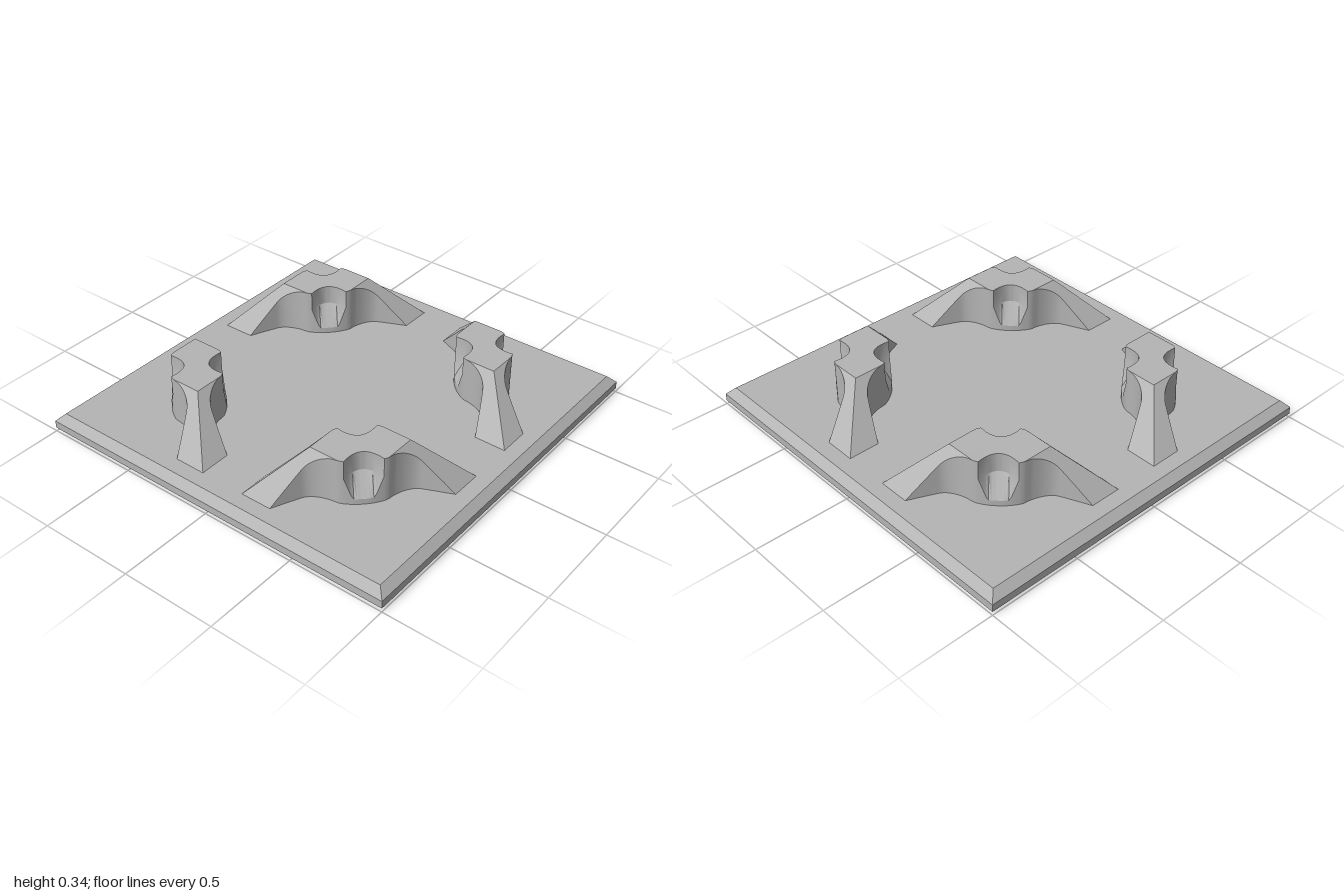
import * as THREE from 'three';
import { toCreasedNormals } from 'three/addons/utils/BufferGeometryUtils.js';

const BASE = 0.1, TOP = 0.34, HALF_BASE = 0.38, HALF_TOP = 0.16;
const LEDGE = 0.24, FLOOR = 0.13;

// Height of the truncated pyramid that caps each ridge (x along it, z across it)
function capHeight(x, z) {
  const reach = (Math.abs(x) + Math.abs(z)) / Math.SQRT2;
  return Math.min(TOP, BASE + (HALF_BASE - reach) * (TOP - BASE) / (HALF_BASE - HALF_TOP));
}

// Ridge: a quarter is built from its plan outline, then mirrored both ways
function ridgeGeometry() {
  const outline = new THREE.SplineCurve([
    [0, 0.135], [0.045, 0.132], [0.09, 0.122], [0.115, 0.1113], [0.15, 0.085],
    [0.2, 0.062], [0.25, 0.055], [0.3, 0.07], [0.42, 0.117],
  ].map(([x, z]) => new THREE.Vector2(x, z))).getPoints(32);
  const NICHE = 8, RIM = 12; // outline samples where the niche and the flat top end
  const edge = outline[NICHE];
  const arc = outline.slice(0, NICHE + 1).map((p) =>
    new THREE.Vector2(p.x, edge.y - 0.062 * (1 - (p.x / edge.x) ** 2)));
  const sill = (x) => FLOOR + (LEDGE - FLOOR) * Math.max(0, (x - 0.05) / (edge.x - 0.05));
  const positions = [];

  for (const sx of [1, -1]) for (const sz of [1, -1]) {
    const tri = (a, b, c) => {
      const order = sx * sz > 0 ? [a, b, c] : [a, c, b];
      for (const [x, y, z] of order) positions.push(x * sx, y, z * sz);
    };
    const quad = (a, b, c, d) => { tri(a, b, c); tri(a, c, d); };
    const at = (p, y) => [p.x, y, p.y];
    // Upward-facing polygon lifted onto the cap
    const cap = (pts) => {
      for (const ids of THREE.ShapeUtils.triangulateShape(pts, [])) {
        const [a, b, c] = ids.map((i) => pts[i]);
        const turn = (b.x - a.x) * (c.y - a.y) - (b.y - a.y) * (c.x - a.x);
        const [A, B, C] = [a, b, c].map((p) => at(p, capHeight(p.x, p.y)));
        if (turn < 0) tri(A, B, C); else tri(A, C, B);
      }
    };
    const shoulder = new THREE.Vector2(HALF_TOP * Math.SQRT2, 0);
    const tip = new THREE.Vector2(HALF_BASE * Math.SQRT2, 0);
    // Flat top, scooped by the niche
    cap([new THREE.Vector2(0, 0), shoulder,
      ...outline.slice(NICHE, RIM + 1).reverse(), ...arc.slice(0, NICHE).reverse()]);
    // Sloping end
    cap([shoulder, tip, ...outline.slice(RIM).reverse()]);
    // Upright curved side
    for (let i = 0; i < outline.length - 1; i++) {
      const a = outline[i], b = outline[i + 1];
      const height = (p) => (i < NICHE ? sill(p.x) : capHeight(p.x, p.y));
      quad(at(a, BASE), at(b, BASE), at(b, height(b)), at(a, height(a)));
    }
    // Niche: upright back and sloping floor
    for (let i = 0; i < NICHE; i++) {
      const a = outline[i], b = outline[i + 1];
      quad(at(arc[i], LEDGE), at(arc[i + 1], LEDGE), at(arc[i + 1], TOP), at(arc[i], TOP));
      quad(at(a, sill(a.x)), at(b, sill(b.x)), at(arc[i + 1], LEDGE), at(arc[i], LEDGE));
    }
  }
  const geometry = new THREE.BufferGeometry();
  geometry.setAttribute('position', new THREE.Float32BufferAttribute(positions, 3));
  return toCreasedNormals(geometry, 0.4);
}

// Square plate with chamfered rims
function plateGeometry() {
  const profile = [[0, 0], [0.98, 0], [1, 0.02], [1, 0.06], [0.96, BASE], [0, BASE]]
    .map(([r, y]) => new THREE.Vector2(r * Math.SQRT2, y));
  const geometry = new THREE.LatheGeometry(profile, 4).rotateY(Math.PI / 4).toNonIndexed();
  geometry.computeVertexNormals();
  return geometry;
}

export function createModel() {
  const model = new THREE.Group();
  model.name = 'ridgedBasePlate';
  const grey = new THREE.MeshStandardMaterial({ color: 0xb4b4b4 });
  grey.name = 'plainGrey';

  const plate = new THREE.Mesh(plateGeometry(), grey);
  plate.name = 'basePlate';
  model.add(plate);

  // One ridge across each corner
  const geometry = ridgeGeometry();
  ['frontLeft', 'backLeft', 'backRight', 'frontRight'].forEach((corner, i) => {
    const ridge = new THREE.Mesh(geometry, grey);
    ridge.name = corner + 'Ridge';
    const angle = Math.PI / 4 + i * Math.PI / 2;
    ridge.rotation.y = angle;
    ridge.position.set(Math.sin(angle) * Math.SQRT1_2, 0, Math.cos(angle) * Math.SQRT1_2);
    model.add(ridge);
  });
  return model;
}
